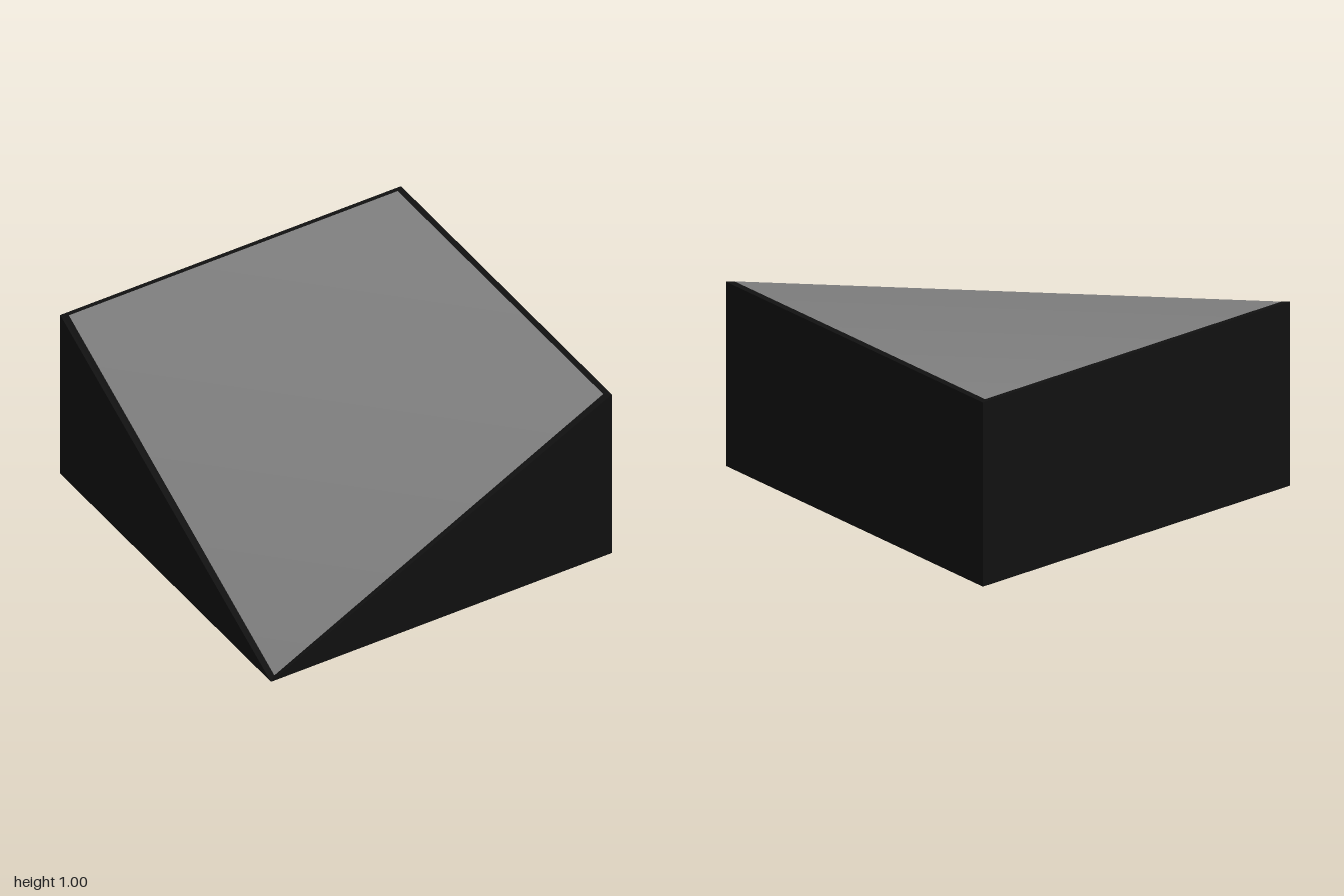
import * as THREE from 'three';

// Corner order: front-left of the picture (low), front, back, back (all high)
const CORNERS = [[-1, 0, 1], [1, 1, 1], [1, 1, -1], [-1, 1, -1]];
const INNER = [[-0.965, 0.01, 0.975], [0.965, 1, 0.975], [0.965, 1, -0.975], [-0.965, 1, -0.975]];

function surface(name, points, index, color) {
  const geometry = new THREE.BufferGeometry();
  geometry.setAttribute('position', new THREE.Float32BufferAttribute(points.flat(), 3));
  geometry.setIndex(index);
  geometry.computeVertexNormals();
  const mesh = new THREE.Mesh(geometry, new THREE.MeshStandardMaterial({ color, side: THREE.DoubleSide }));
  mesh.name = name;
  return mesh;
}

export function createModel() {
  const group = new THREE.Group();
  group.name = 'cornerSlopeTile';
  const black = 0x111111;
  const wallNames = ['frontWall', 'rightWall', 'backWall', 'leftWall'];

  CORNERS.forEach((a, i) => {
    const j = (i + 1) % 4;
    const b = CORNERS[j];
    // Upright wall, triangular where it runs down to the low corner
    const base = ([x, , z]) => [x, 0, z];
    const wallIndex = i === 0 ? [0, 1, 2] : i === 3 ? [0, 1, 3] : [0, 1, 2, 0, 2, 3];
    group.add(surface(wallNames[i], [base(a), base(b), b, a], wallIndex, black));
    // Narrow rim along the top of the wall
    group.add(surface('rim', [a, b, INNER[j], INNER[i]], [0, 1, 2, 0, 2, 3], black));
  });

  // Sloping top: a flat half and a half falling to the low corner, smoothly shaded
  group.add(surface('slopedTop', INNER, [0, 1, 3, 1, 2, 3], 0x808080));
  return group;
}
